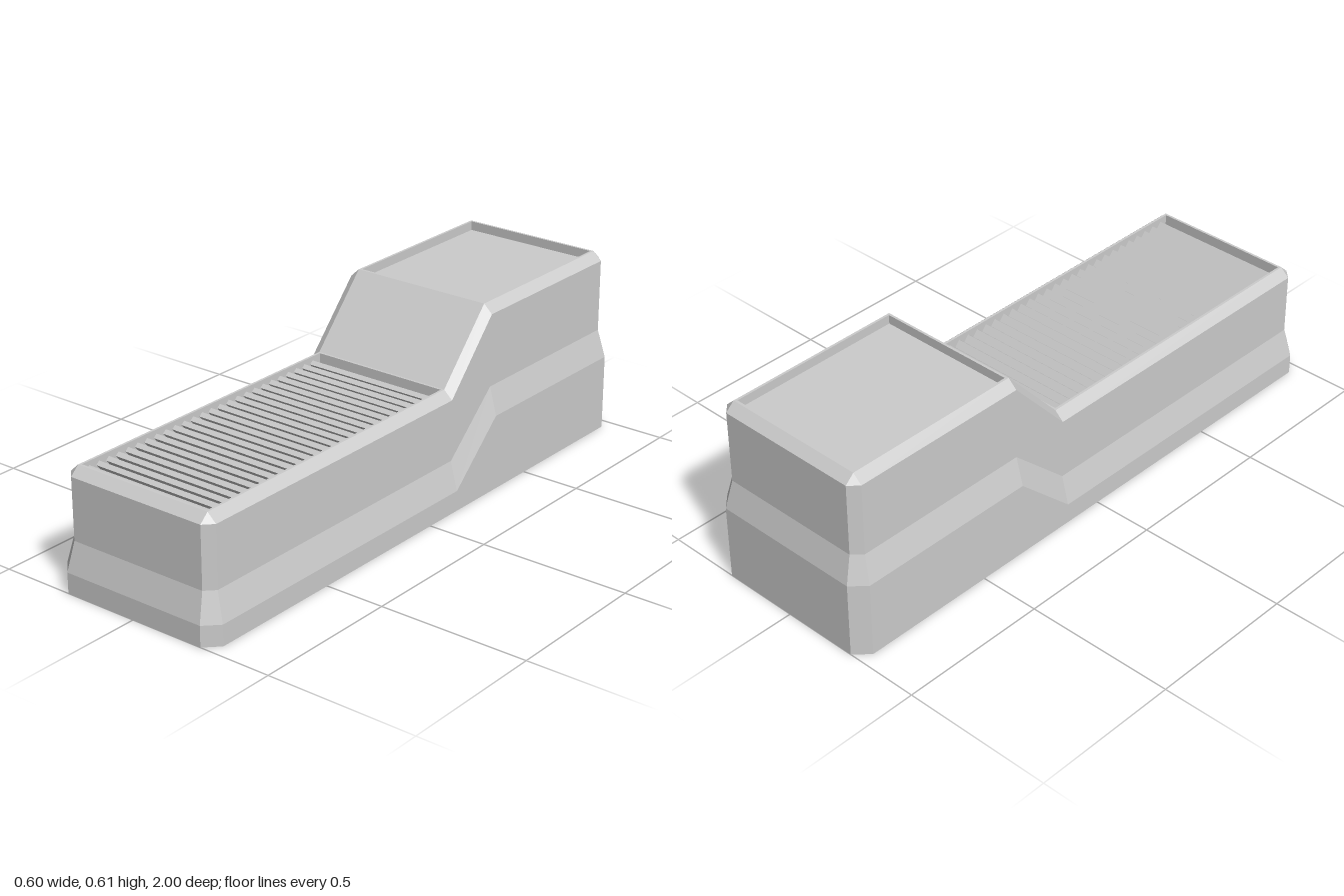
import * as THREE from 'three';

const STEP_FRONT = -0.135, STEP_BACK = -0.335; // where the sloped step begins and ends
const FRONT_TOP = 0.393, BACK_TOP = 0.613;

const material = new THREE.MeshStandardMaterial({
  color: 0xcccccc, flatShading: true, side: THREE.DoubleSide,
});

// Skins a stack of closed rings that share the same point count
function loft(rings) {
  const pos = [];
  for (let r = 0; r + 1 < rings.length; r++) {
    const lo = rings[r], up = rings[r + 1];
    for (let i = 0; i < lo.length; i++) {
      const j = (i + 1) % lo.length;
      pos.push(...lo[i], ...lo[j], ...up[j], ...lo[i], ...up[j], ...up[i]);
    }
  }
  const geo = new THREE.BufferGeometry();
  geo.setAttribute('position', new THREE.Float32BufferAttribute(pos, 3));
  geo.computeVertexNormals();
  return geo;
}

// Chamfered outline, low in front and raised behind the step
function bodyRing(halfW, halfL, chamfer, yFront, yBack) {
  const a = halfW - chamfer, l = halfL - chamfer;
  const right = [
    [a, yFront, halfL], [halfW, yFront, l], [halfW, yFront, STEP_FRONT],
    [halfW, yBack, STEP_BACK], [halfW, yBack, -l], [a, yBack, -halfL],
  ];
  const left = right.map(([x, y, z]) => [-x, y, z]).reverse();
  return [...right, ...left];
}

function rectRing(halfW, zFront, zBack, y) {
  return [[halfW, y, zFront], [halfW, y, zBack], [-halfW, y, zBack], [-halfW, y, zFront]];
}

function addMesh(parent, name, geo) {
  const mesh = new THREE.Mesh(geo, material);
  mesh.name = name;
  parent.add(mesh);
  return mesh;
}

// Flat rim around an opening, with walls dropping down inside it
function recess(zFront, zBack, y, depth, closed) {
  const inset = 0.008, w = 0.245 - inset;
  const rings = [
    rectRing(0.245, zFront, zBack, y),
    rectRing(w, zFront - inset, zBack + inset, y),
    rectRing(w, zFront - inset, zBack + inset, y - depth),
  ];
  const geo = loft(rings);
  if (!closed) return [geo];
  const floor = new THREE.PlaneGeometry(2 * w, zFront - zBack - 2 * inset);
  floor.rotateX(-Math.PI / 2);
  floor.translate(0, y - depth, (zFront + zBack) / 2);
  return [geo, floor];
}

export function createModel() {
  const model = new THREE.Group();
  model.name = 'steppedHousing';

  // Thin shell, open underneath, with a flared skirt and bevelled top edge
  addMesh(model, 'housingShell', loft([
    bodyRing(0.3, 1, 0.045, 0, 0),
    bodyRing(0.3, 1, 0.045, 0.068, 0.252),
    bodyRing(0.275, 0.975, 0.03, 0.163, 0.345),
    bodyRing(0.275, 0.975, 0.03, 0.365, 0.585),
    bodyRing(0.245, 0.945, 0, FRONT_TOP, BACK_TOP),
  ]));

  // Sloped panel joining the two top levels
  const slope = new THREE.PlaneGeometry(
    0.49, Math.hypot(BACK_TOP - FRONT_TOP, STEP_FRONT - STEP_BACK));
  slope.rotateX(-Math.atan2(STEP_FRONT - STEP_BACK, BACK_TOP - FRONT_TOP));
  slope.translate(0, (FRONT_TOP + BACK_TOP) / 2, (STEP_FRONT + STEP_BACK) / 2);
  addMesh(model, 'slopedPanel', slope);

  // Raised rear deck with a shallow sunken panel
  const [rearRim, rearFloor] = recess(STEP_BACK, -0.945, BACK_TOP, 0.03, true);
  addMesh(model, 'rearRim', rearRim);
  addMesh(model, 'rearPanel', rearFloor);

  // Deep open frame holding the louvres
  const [ventFrame] = recess(0.945, STEP_FRONT, FRONT_TOP, 0.2, false);
  addMesh(model, 'ventFrame', ventFrame);

  // Tilted louvre blades, rising toward the front
  const louvres = new THREE.Group();
  louvres.name = 'louvres';
  model.add(louvres);
  const tilt = THREE.MathUtils.degToRad(50), blade = 0.15, thick = 0.016;
  const bladeGeo = new THREE.BoxGeometry(0.474, thick, blade);
  bladeGeo.rotateX(-tilt);
  const topY = 0.38, dy = (blade * Math.sin(tilt) + thick * Math.cos(tilt)) / 2;
  const dz = (blade * Math.cos(tilt) + thick * Math.sin(tilt)) / 2;
  for (let i = 0; i < 26; i++) {
    const mesh = addMesh(louvres, 'louvreBlade', bladeGeo);
    mesh.position.set(0, topY - dy, 0.921 - i * 0.04 - dz);
  }

  return model;
}
